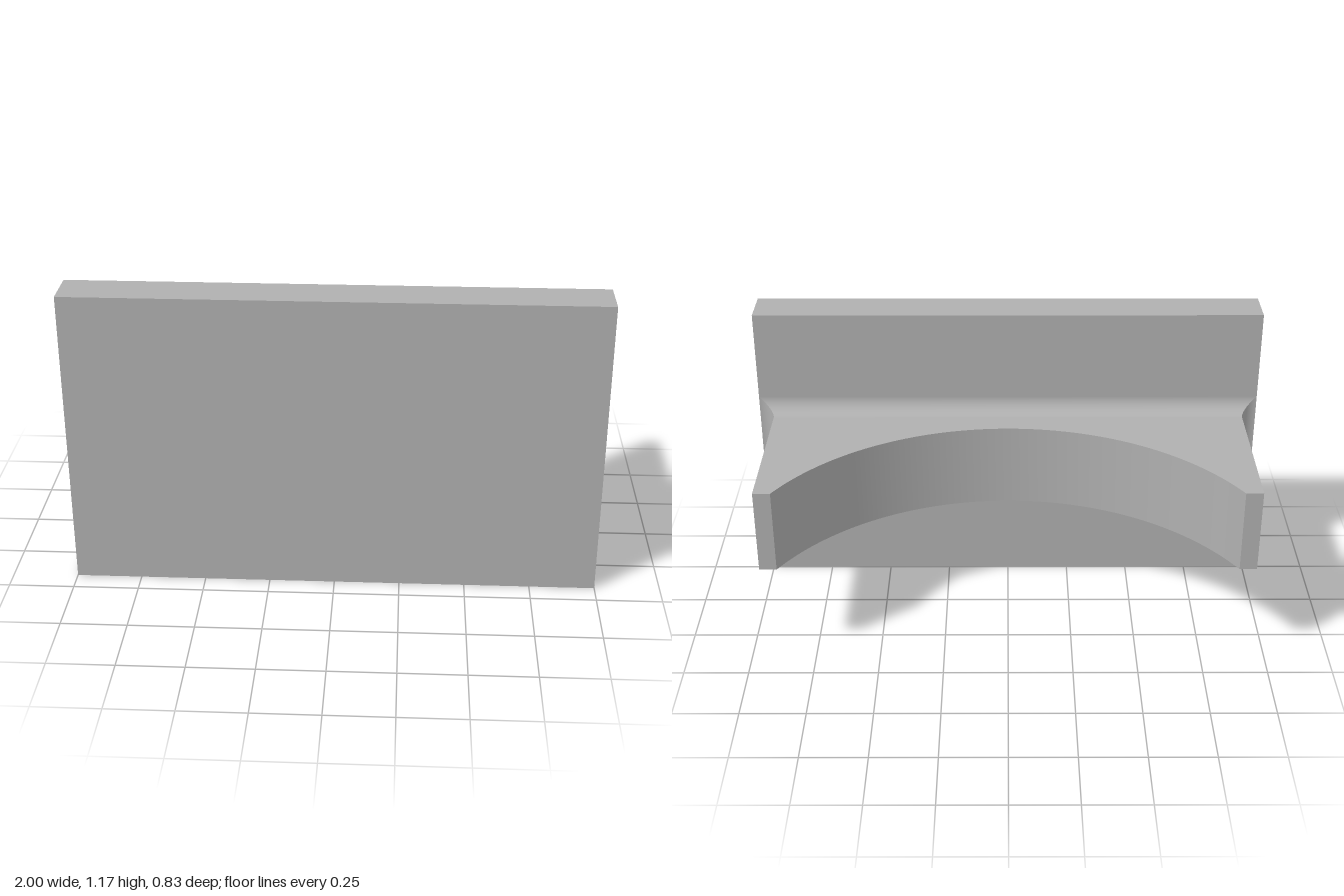
import * as THREE from 'three';
import { toCreasedNormals } from 'three/addons/utils/BufferGeometryUtils.js';

const W = 0.9375, Y0 = 0.42, Y1 = 0.75;   // saddle half width, bottom and top
const BACK = -0.417, PLATE = 0.25, FRONT = 0.417;
const R = 0.0625;                         // fillet radius

// Concave fillet around the saddle's root, four mitred strips with smooth normals
function filletGeometry(steps = 12) {
  const pos = [], nor = [], idx = [];
  const cy = (Y0 + Y1) / 2, hy = (Y1 - Y0) / 2;
  for (const [nx, ny] of [[1, 0], [0, 1], [-1, 0], [0, -1]]) {
    const base = pos.length / 3;
    for (let i = 0; i <= steps; i++) {
      const a = (i / steps) * Math.PI / 2;
      const out = R * (1 - Math.cos(a)), z = PLATE - R + R * Math.sin(a);
      for (const s of [-1, 1]) {
        // s runs counter-clockwise along the side
        pos.push((nx - s * ny) * (W + out), cy + (ny + s * nx) * (hy + out), z);
        nor.push(nx * Math.cos(a), ny * Math.cos(a), -Math.sin(a));
      }
      if (i < steps) {
        const k = base + i * 2;
        idx.push(k, k + 1, k + 3, k, k + 3, k + 2);
      }
    }
  }
  const g = new THREE.BufferGeometry();
  g.setAttribute('position', new THREE.Float32BufferAttribute(pos, 3));
  g.setAttribute('normal', new THREE.Float32BufferAttribute(nor, 3));
  g.setIndex(idx);
  return g;
}

// Saddle: plan outline in x and z with a circular cut-out, extruded in height
function saddleGeometry() {
  const arcZ = -0.907, start = Math.asin(BACK - arcZ);
  const plan = new THREE.Shape();
  plan.moveTo(-W, PLATE);
  plan.lineTo(-W, BACK);
  plan.lineTo(-Math.cos(start), BACK);
  plan.absarc(0, arcZ, 1, Math.PI - start, start, true);
  plan.lineTo(W, BACK);
  plan.lineTo(W, PLATE);
  plan.closePath();
  const g = new THREE.ExtrudeGeometry(plan, { depth: Y1 - Y0, bevelEnabled: false, curveSegments: 64 });
  g.rotateX(Math.PI / 2).translate(0, Y1, 0);
  return toCreasedNormals(g, 0.4);
}

export function createModel() {
  const grey = new THREE.MeshStandardMaterial({ color: 0xb0b0b0 });
  grey.name = 'grey';
  const filletGrey = grey;
  const model = new THREE.Group();
  model.name = 'saddleBracket';
  const add = (name, geometry, material = grey) => {
    const mesh = new THREE.Mesh(geometry, material);
    mesh.name = name;
    model.add(mesh);
  };

  // Mounting plate
  add('plate', new THREE.BoxGeometry(2, 1.167, FRONT - PLATE)
    .translate(0, 1.167 / 2, (FRONT + PLATE) / 2));
  add('saddle', saddleGeometry());
  add('fillet', filletGeometry(), filletGrey);
  return model;
}
